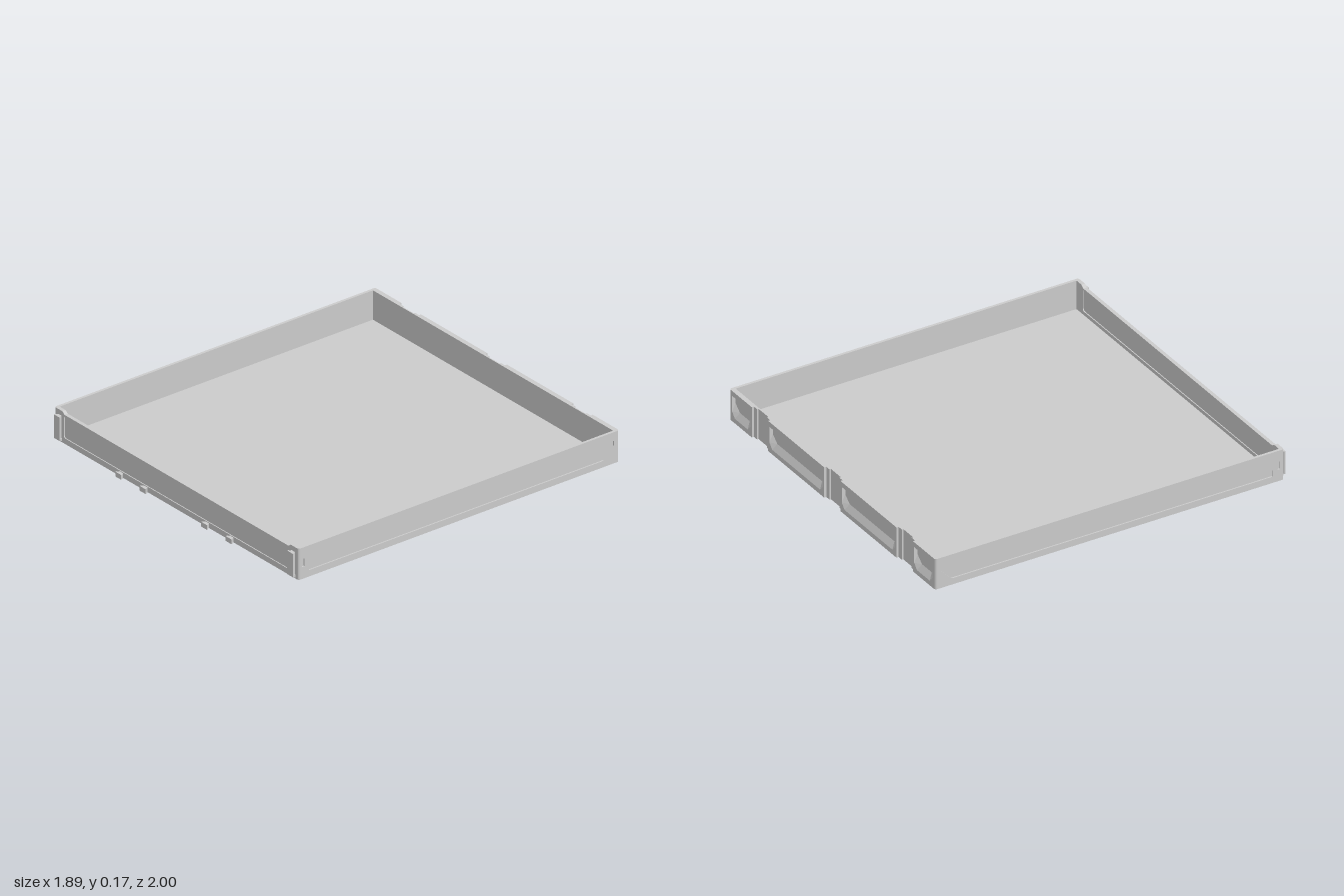
import * as THREE from 'three';

const W = 0.945, H = 0.17, FRONT = 0.98, R = 0.012;
const material = new THREE.MeshStandardMaterial({ color: 0xcccccc, flatShading: true, side: THREE.DoubleSide });

function add(parent, name, geometry) {
  const mesh = new THREE.Mesh(geometry, material);
  mesh.name = name;
  parent.add(mesh);
  return mesh;
}

// Box given by its minimum and maximum corners
function box(parent, name, x0, x1, y0, y1, z0, z1) {
  const mesh = add(parent, name, new THREE.BoxGeometry(x1 - x0, y1 - y0, z1 - z0));
  mesh.position.set((x0 + x1) / 2, (y0 + y1) / 2, (z0 + z1) / 2);
  return mesh;
}

const polygon = (points) => new THREE.Shape(points.map(([x, y]) => new THREE.Vector2(x, y)));
const rect = (x0, x1, y0, y1) => polygon([[x0, y0], [x1, y0], [x1, y1], [x0, y1]]);
const extrude = (shape, depth) => new THREE.ExtrudeGeometry(shape, { depth, bevelEnabled: false, curveSegments: 5 });

// Band of faces joining two loops of equal length, seen from inside
function loft(a, za, b, zb) {
  const positions = [];
  a.forEach((p, i) => {
    const j = (i + 1) % a.length;
    const p0 = [...p, za], p1 = [...a[j], za], q0 = [...b[i], zb], q1 = [...b[j], zb];
    positions.push(...p0, ...p1, ...q1, ...p0, ...q1, ...q0);
  });
  const geometry = new THREE.BufferGeometry();
  geometry.setAttribute('position', new THREE.Float32BufferAttribute(positions, 3));
  geometry.computeVertexNormals();
  return geometry;
}

// Side wall: thin core plus a skin cut by the long panel and a small slot
function sideWall(side) {
  const group = new THREE.Group();
  group.name = side > 0 ? 'leftWall' : 'rightWall';
  const toLocal = (points) => points.map(([z, y]) => [-side * z, y]);
  const skin = polygon(toLocal([[-0.988, 0], [0.968, 0], [0.968, H], [-0.988, H]]));
  skin.holes.push(
    polygon(toLocal([[0.915, 0.035], [0.915, 0.068], [0.855, 0.123], [-0.968, 0.123], [-0.968, 0.095], [-0.905, 0.035]])),
    polygon(toLocal([[0.943, 0.065], [0.958, 0.065], [0.958, 0.108], [0.943, 0.108]])),
  );
  const skinMesh = add(group, 'sideSkin', extrude(skin, 0.007));
  skinMesh.rotation.y = side * Math.PI / 2;
  skinMesh.position.x = side * (W - 0.007);
  box(group, 'sideCore', side * 0.934 - 0.004, side * 0.934 + 0.004, 0, H, -0.988, 0.968);
  return group;
}

// Front wall: lowered frame with rounded window and a thin inset panel
function frontWall() {
  const group = new THREE.Group();
  group.name = 'frontWall';
  const e = W - R;
  const frame = polygon([[-e, 0], [e, 0], [e, H], [0.885, H], [0.867, 0.157], [-0.867, 0.157], [-0.885, H], [-e, H]]);
  const window = new THREE.Path();
  const x = 0.872, y0 = 0.03, y1 = 0.151, r = 0.014;
  window.moveTo(-x + r, y0).lineTo(x - r, y0);
  window.quadraticCurveTo(x, y0, x, y0 + r).lineTo(x, y1 - r);
  window.quadraticCurveTo(x, y1, x - r, y1).lineTo(-x + r, y1);
  window.quadraticCurveTo(-x, y1, -x, y1 - r).lineTo(-x, y0 + r);
  window.quadraticCurveTo(-x, y0, -x + r, y0);
  frame.holes.push(window);
  add(group, 'frontFrame', extrude(frame, 0.02)).position.z = FRONT - 0.02;
  box(group, 'frontPanel', -0.875, 0.875, 0.025, 0.155, 0.965, 0.975);
  return group;
}

// Dovetail hook on the front, wider at its outer face
function hook(parent, name, x, width, y0, y1) {
  const n = width * 0.3, w = width / 2;
  const geometry = extrude(polygon([[x - n, -0.97], [x + n, -0.97], [x + n, -0.985], [x + w, -0.993],
    [x + w, -1], [x - w, -1], [x - w, -0.993], [x - n, -0.985]]), y1 - y0);
  geometry.rotateX(-Math.PI / 2);
  add(parent, name, geometry).position.y = y0;
}

// Back block with a pocket whose floor and lower corners slope inward
function pocketBlock(parent, name, x0, x1, margin) {
  const a = x0 + margin, b = x1 - margin, c = 0.025, s = 0.04;
  const outer = [[a, 0.142], [a, 0.055], [a + c, 0.026], [b - c, 0.026], [b, 0.055], [b, 0.142]];
  const inner = [[a, 0.142], [a, 0.095], [a + s, 0.06], [b - s, 0.06], [b, 0.095], [b, 0.142]];
  const shape = rect(x0, x1, 0, H);
  shape.holes.push(polygon(outer));
  add(parent, name, extrude(shape, 0.02)).position.z = 0.98;
  add(parent, name + 'Slope', loft(outer, 1, inner, 0.98));
}

// Back wall, built facing +z and turned around
function backWall() {
  const group = new THREE.Group();
  group.name = 'backWall';
  box(group, 'backPlate', -W + R, W - R, 0, H, 0.974, 0.98);
  for (const s of [-1, 1]) {
    const span = (a, b) => [Math.min(s * a, s * b), Math.max(s * a, s * b)];
    pocketBlock(group, 'gripPocket', ...span(0.075, 0.59), 0.012);
    pocketBlock(group, 'cornerPocket', ...span(0.74, W - R), 0.012);
  }
  // Upright channels that receive the hooks
  for (const x of [-0.665, 0, 0.665]) {
    for (const s of [-1, 1]) {
      const c = x + s * 0.06;
      box(group, 'channelRail', c - 0.015, c + 0.015, 0, H, 0.98, 0.988);
    }
  }
  group.rotation.y = Math.PI;
  return group;
}

export function createModel() {
  const model = new THREE.Group();
  model.name = 'tray';
  box(model, 'floor', -0.938, 0.938, 0, 0.01, -0.98, 0.97);
  model.add(frontWall(), backWall());
  for (const side of [-1, 1]) {
    model.add(sideWall(side));
    // Rounded upright corners
    for (const z of [-1 + R, FRONT - R]) {
      const corner = add(model, 'cornerPost', new THREE.CylinderGeometry(R, R, H, 16));
      corner.position.set(side * (W - R), H / 2, z);
    }
    hook(model, 'cornerHook', side * 0.904, 0.044, 0.015, 0.143);
    box(model, 'hookFoot', side * 0.904 - 0.018, side * 0.904 + 0.018, 0.008, 0.022, 0.975, 0.99);
    for (const x of [0.238, 0.427]) hook(model, 'lowerHook', side * x, 0.045, 0, 0.026);
  }
  return model;
}
